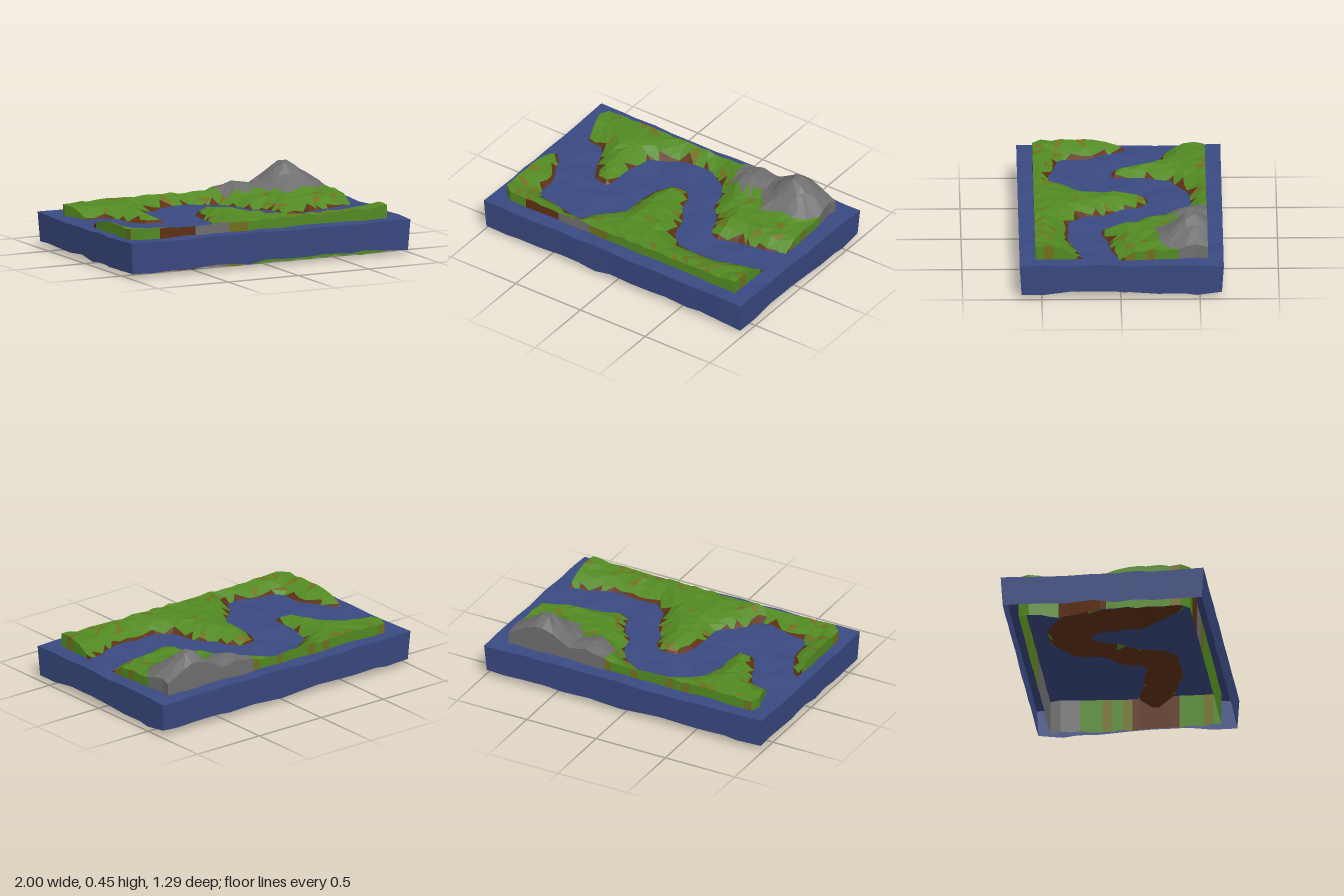
import * as THREE from 'three';

const COLORS = { water: 0x3a4a82, grass: 0x528a22, dryGrass: 0x70701f, soil: 0x5e3014, rock: 0x6e6e6e };
const WATER = 0.235;

// Shoreline of the river: north bank from left to right, then south bank back
const RIVER = [
  [-1.1, -0.3], [-0.84, -0.29], [-0.72, -0.25], [-0.64, -0.1], [-0.57, 0.04], [-0.45, 0.06], [-0.44, -0.18],
  [-0.4, -0.33], [-0.24, -0.43], [0, -0.45], [0.14, -0.36], [0.2, -0.26], [0.22, -0.13], [0.3, -0.08],
  [0.35, 0.06], [0.41, 0.13], [0.54, 0.08], [0.75, 0.06], [0.9, 0], [1.1, 0],
  [1.1, 0.23], [0.88, 0.23], [0.75, 0.27], [0.54, 0.33], [0.3, 0.33], [0.2, 0.24], [0.16, 0.11],
  [0.08, -0.01], [0.06, -0.13], [-0.02, -0.2], [-0.12, -0.18], [-0.18, -0.07], [-0.2, 0.06], [-0.2, 0.22],
  [-0.32, 0.32], [-0.4, 0.45], [-0.64, 0.4], [-0.77, 0.38], [-0.78, 0.19], [-0.85, 0.03], [-0.91, -0.05], [-1.1, -0.06],
];
// Outer edges of the land as [z, x]
const LEFT = [[-0.55, -0.87], [-0.5, -0.9], [-0.29, -0.84], [-0.05, -0.92], [0.03, -0.93], [0.5, -0.93], [0.54, -0.87]];
const RIGHT = [[-0.55, 0.88], [-0.5, 0.87], [-0.35, 0.89], [0, 0.89], [0.23, 0.88], [0.54, 0.87]];
// Mountains as x, z, added height, radius
const PEAKS = [[0.66, -0.46, 0.165, 0.27], [0.33, -0.48, 0.055, 0.23]];

const { lerp, clamp } = THREE.MathUtils;

// Repeatable noise in -1..1
function noise(i, j, seed) {
  const s = Math.sin(i * 127.1 + j * 311.7 + seed * 74.7) * 43758.5453;
  return (s - Math.floor(s)) * 2 - 1;
}

function edgeAt(points, z) {
  for (let k = 1; k < points.length; k++) {
    const [z0, x0] = points[k - 1], [z1, x1] = points[k];
    if (z <= z1) return lerp(x0, x1, clamp((z - z0) / (z1 - z0), 0, 1));
  }
  return points[points.length - 1][1];
}

// Signed distance to the shoreline, positive on land
function shoreDistance(x, z) {
  let best = Infinity, inside = false;
  RIVER.forEach(([ax, az], k) => {
    const [bx, bz] = RIVER[(k + 1) % RIVER.length];
    const dx = bx - ax, dz = bz - az;
    const t = clamp(((x - ax) * dx + (z - az) * dz) / (dx * dx + dz * dz), 0, 1);
    best = Math.min(best, Math.hypot(x - ax - t * dx, z - az - t * dz));
    if ((az > z) !== (bz > z) && x < ax + (dx * (z - az)) / dz) inside = !inside;
  });
  return inside ? -best : best;
}

function mountain(x, z) {
  return Math.max(...PEAKS.map(([px, pz, h, r]) => {
    const t = Math.max(0, 1 - Math.hypot(x - px, z - pz) / r);
    return h * Math.min(1, 1.2 * Math.pow(t, 1.3));
  }));
}

// Faceted sheet with a skirt hanging from its border; faces are sorted by colour
function skirtedSheet(name, cols, rows, top, bottom, topColor, wallColor) {
  const buckets = {};
  const add = (color, ...pts) => {
    (buckets[color] ??= []).push(...pts.flatMap((p) => p.toArray()));
  };
  const grid = [];
  for (let j = 0; j <= rows; j++) {
    grid.push([]);
    for (let i = 0; i <= cols; i++) grid[j].push(top(i, j));
  }
  for (let j = 0; j < rows; j++) {
    for (let i = 0; i < cols; i++) {
      const a = grid[j][i], b = grid[j][i + 1], c = grid[j + 1][i + 1], d = grid[j + 1][i];
      const tris = noise(i, j, 9) > 0 ? [[a, d, c], [a, c, b]] : [[a, d, b], [b, d, c]];
      tris.forEach((t, k) => add(topColor(t, i, j + k * 50), ...t));
    }
  }
  // Border, counter-clockwise seen from above
  const rim = [];
  for (let i = 0; i < cols; i++) rim.push(grid[rows][i]);
  for (let j = rows; j > 0; j--) rim.push(grid[j][cols]);
  for (let i = cols; i > 0; i--) rim.push(grid[0][i]);
  for (let j = 0; j < rows; j++) rim.push(grid[j][0]);
  const low = rim.map(bottom);
  rim.forEach((p, k) => {
    const n = (k + 1) % rim.length;
    const color = wallColor(p, rim[n], k);
    add(color, low[k], low[n], rim[n]);
    add(color, low[k], rim[n], p);
  });

  const group = new THREE.Group();
  group.name = name;
  for (const [color, positions] of Object.entries(buckets)) {
    const geometry = new THREE.BufferGeometry();
    geometry.setAttribute('position', new THREE.Float32BufferAttribute(positions, 3));
    geometry.computeVertexNormals();
    const mesh = new THREE.Mesh(geometry, new THREE.MeshStandardMaterial({
      color: COLORS[color], flatShading: true, side: THREE.DoubleSide,
    }));
    mesh.name = color;
    group.add(mesh);
  }
  return group;
}

function createLand() {
  const cols = 28, rows = 17;
  const top = (i, j) => {
    const innerX = i > 0 && i < cols, innerZ = j > 0 && j < rows;
    const z = lerp(-0.55, 0.54, (j + (innerZ ? 0.25 * noise(i, j, 1) : 0)) / rows);
    const u = (i + (innerX ? 0.25 * noise(i, j, 2) : 0)) / cols;
    const x = lerp(edgeAt(LEFT, z), edgeAt(RIGHT, z), u);
    const d = shoreDistance(x, z);
    let y = WATER + (d > 0 ? Math.min(0.065, d * 0.6) : Math.max(-0.1, d * 0.8));
    if (d > 0.08) y += 0.007 * noise(i, j, 3);
    if (d > 0) y += mountain(x, z) * Math.min(1, d / 0.1);
    // Raised corner at the front right
    if (x > 0.75 && z > 0.42) y += 0.02;
    return new THREE.Vector3(x, y, z);
  };
  const bottom = (p, k) => new THREE.Vector3(p.x, 0.018 + 0.008 * noise(k, 0, 4), p.z);
  const topColor = (t, i, j) => {
    const c = t[0].clone().add(t[1]).add(t[2]).divideScalar(3);
    if (c.y < WATER + 0.008 + 0.012 * noise(i, j, 5)) return 'soil';
    if (mountain(c.x, c.z) > 0.016 && c.y > 0.28) return 'rock';
    return noise(i, j, 6) > 0.82 ? 'dryGrass' : 'grass';
  };
  const wallColor = (p, q, k) => {
    const x = (p.x + q.x) / 2, z = (p.z + q.z) / 2;
    if (z > 0.53) {
      if (x > -0.73 && x < -0.48) return 'soil';
      if (x >= -0.48 && x < -0.24) return 'rock';
      if (x >= -0.24 && x < -0.12) return 'dryGrass';
      return x > 0.85 ? 'rock' : 'grass';
    }
    if (mountain(x, z) > 0.01) return 'rock';
    if (Math.max(p.y, q.y) < 0.27) return 'soil';
    return noise(k, 0, 7) > 0.6 ? 'dryGrass' : 'grass';
  };
  return skirtedSheet('land', cols, rows, top, bottom, topColor, wallColor);
}

function createWater() {
  const cols = 14, rows = 9;
  const top = (i, j) => {
    const innerX = i > 0 && i < cols, innerZ = j > 0 && j < rows;
    const x = lerp(-1, 1 - 0.015 * (j / rows), (i + (innerX ? 0.25 * noise(i, j, 11) : 0)) / cols);
    const z = lerp(-0.65, 0.64, (j + (innerZ ? 0.25 * noise(i, j, 12) : 0)) / rows);
    return new THREE.Vector3(x, WATER + 0.007 * noise(i, j, 13), z);
  };
  const bottom = (p, k) => new THREE.Vector3(p.x * 0.988, 0.045 + 0.013 * noise(k, 1, 14), p.z * 0.982);
  return skirtedSheet('sea', cols, rows, top, bottom, () => 'water', () => 'water');
}

export function createModel() {
  const model = new THREE.Group();
  model.name = 'riverIsland';
  model.add(createWater(), createLand());
  return model;
}
